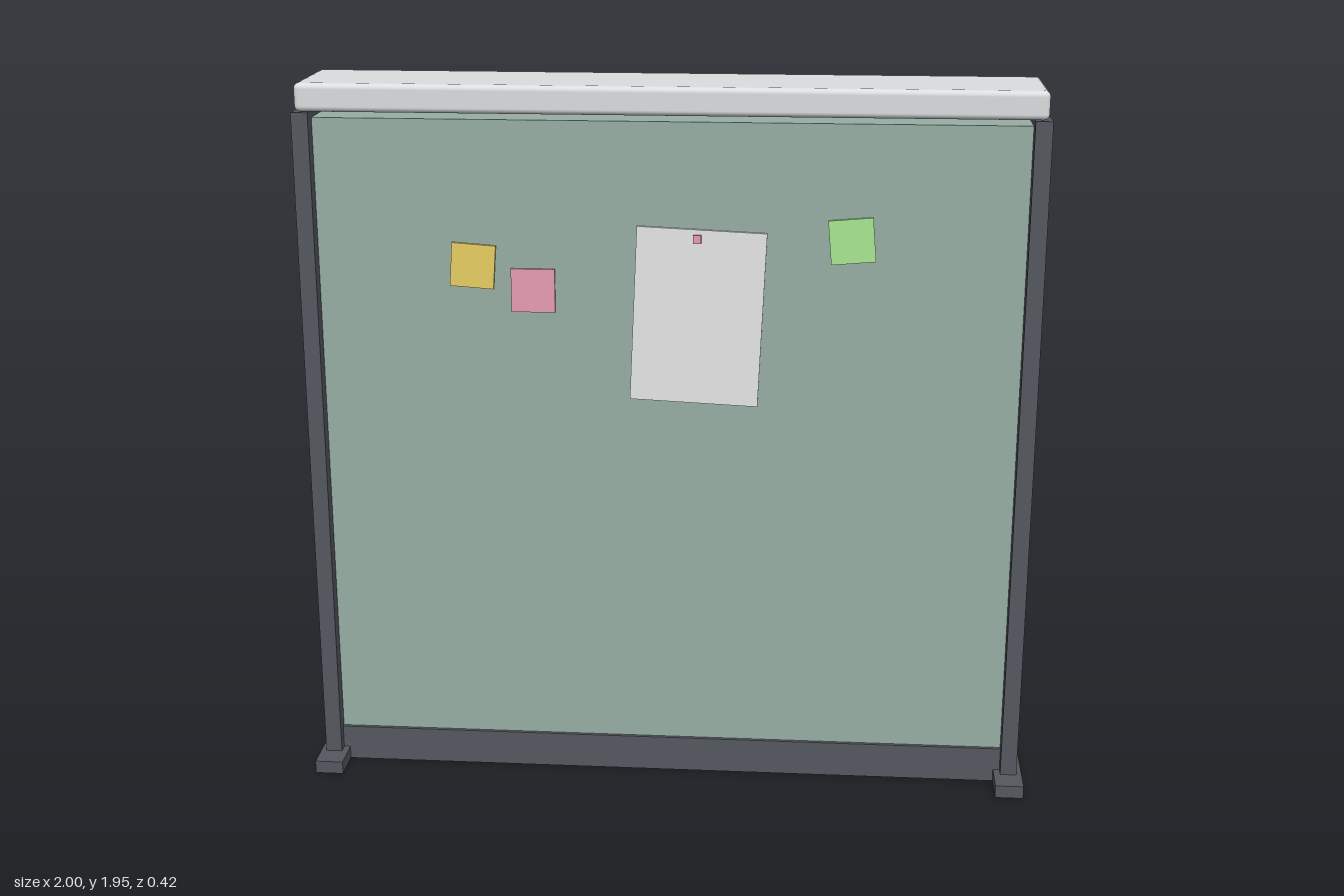
import * as THREE from 'three';
import { RoundedBoxGeometry } from 'three/addons/geometries/RoundedBoxGeometry.js';

const material = (name, color) => {
  const m = new THREE.MeshStandardMaterial({ color });
  m.name = name;
  return m;
};

export function createModel() {
  const model = new THREE.Group();
  model.name = 'partitionScreen';

  const frame = material('dark grey frame', 0x54585f);
  const fabric = material('grey green fabric', 0x97aea4);
  const cap = material('pale grey cap', 0xdcdddf);
  const paper = material('white paper', 0xebebec);
  const yellow = material('yellow note', 0xf8de6c);
  const pink = material('pink note', 0xfbabc4);
  const green = material('green note', 0xaef098);

  const add = (name, geometry, mat, x, y, z) => {
    const mesh = new THREE.Mesh(geometry, mat);
    mesh.name = name;
    mesh.position.set(x, y, z);
    model.add(mesh);
    return mesh;
  };
  const box = (name, mat, w, h, d, x, y, z) =>
    add(name, new THREE.BoxGeometry(w, h, d), mat, x, y, z);

  // Fabric panel recessed between the posts, with a gap below the cap
  box('panel', fabric, 1.88, 1.755, 0.2, 0, 0.9775, 0);
  box('bottomRail', frame, 1.88, 0.1, 0.22, 0, 0.05, 0);

  // Side posts and their feet
  for (const [side, s] of [['left', 1], ['right', -1]]) {
    box(side + 'Post', frame, 0.045, 1.873, 0.28, s * 0.9625, 0.9365, 0);
    box(side + 'Foot', frame, 0.078, 0.036, 0.42, s * 0.961, 0.018, 0);
  }

  // Rounded top cap
  add('topCap', new RoundedBoxGeometry(1.95, 0.075, 0.29, 3, 0.015), cap, 0, 1.9125, 0);

  // Thin sheets pinned to the panel: name, material, width, height, x, y, tilt in degrees
  const t = 0.008;
  const sheets = [
    ['yellowNote', yellow, 0.118, 0.118, -0.522, 1.465, -4],
    ['pinkNote', pink, 0.118, 0.118, -0.361, 1.4, 0],
    ['frontSheet', paper, 0.345, 0.475, 0.08, 1.335, -2.5],
    ['greenNote', green, 0.118, 0.118, 0.485, 1.548, 5],
  ];
  for (const [name, mat, w, h, x, y, tilt] of sheets) {
    box(name, mat, w, h, t, x, y, 0.1 + t / 2).rotation.z = THREE.MathUtils.degToRad(tilt);
  }
  box('pin', pink, 0.022, 0.022, t, 0.078, 1.548, 0.1 + 1.5 * t);

  // Landscape sheet on the back
  box('backSheet', paper, 0.5, 0.335, t, 0.165, 1.3, -0.1 - t / 2);

  return model;
}
